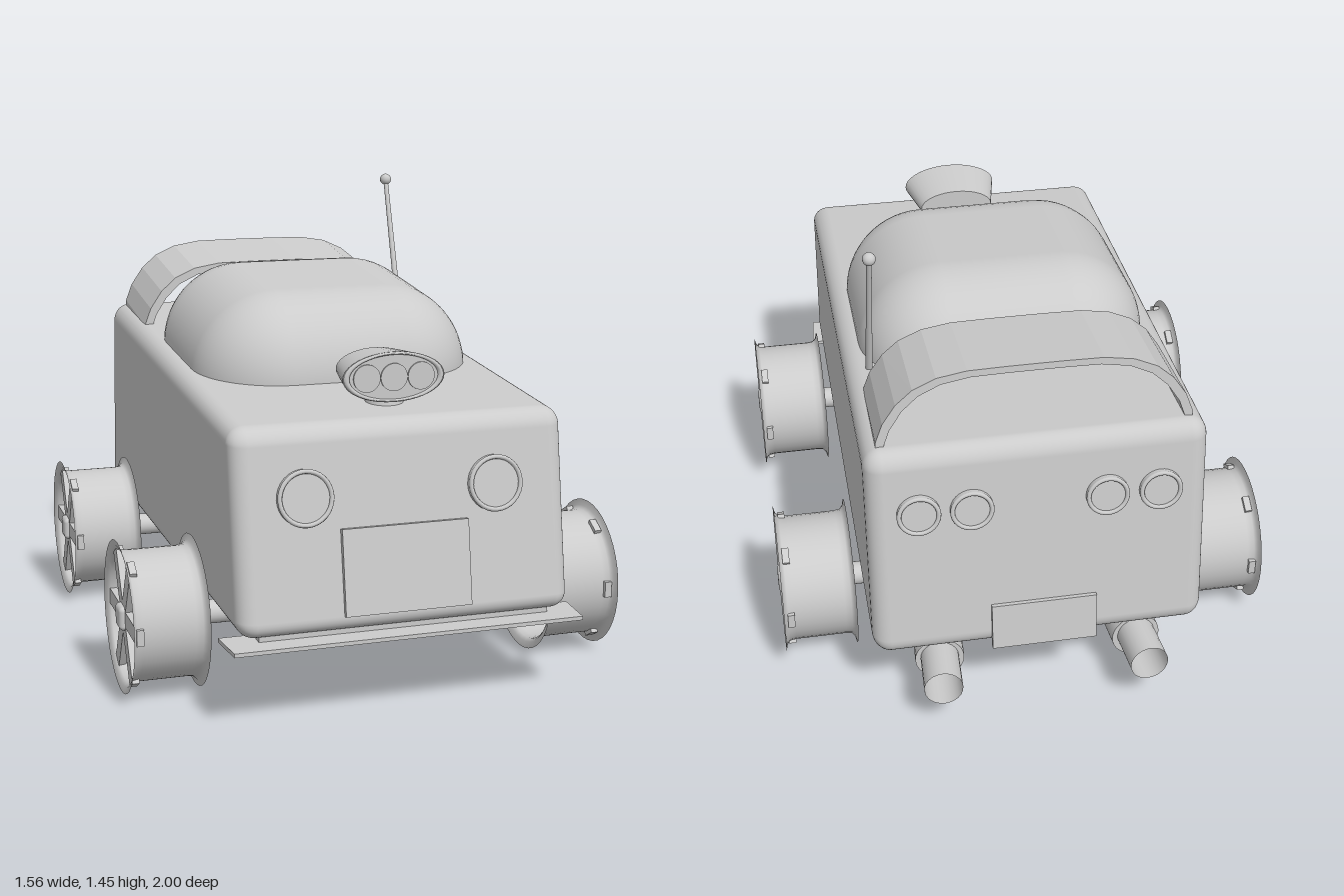
import * as THREE from 'three';
import { mergeVertices } from 'three/addons/utils/BufferGeometryUtils.js';
import { RoundedBoxGeometry } from 'three/addons/geometries/RoundedBoxGeometry.js';

const V = (x, y, z) => new THREE.Vector3(x, y, z);
const mat = new THREE.MeshStandardMaterial({ color: 0xcccccc });
const thinMat = new THREE.MeshStandardMaterial({ color: 0xcccccc, side: THREE.DoubleSide });

function add(parent, name, geometry, pos = [0, 0, 0], rot = [0, 0, 0], material = mat) {
  const mesh = new THREE.Mesh(geometry, material);
  mesh.name = name;
  mesh.position.set(...pos);
  mesh.rotation.set(...rot);
  parent.add(mesh);
  return mesh;
}

function group(parent, name, pos = [0, 0, 0], rot = [0, 0, 0]) {
  const g = new THREE.Group();
  g.name = name;
  g.position.set(...pos);
  g.rotation.set(...rot);
  parent.add(g);
  return g;
}

// Round bar running from a to b
function rod(parent, name, a, b, ra, rb = ra, open = false, material = mat) {
  const geo = new THREE.CylinderGeometry(rb, ra, a.distanceTo(b), 24, 1, open);
  const mesh = add(parent, name, geo, a.clone().lerp(b, 0.5).toArray(), [0, 0, 0], material);
  mesh.quaternion.setFromUnitVectors(V(0, 1, 0), b.clone().sub(a).normalize());
  return mesh;
}

// Move every vertex by a rule and refresh the normals
function deform(geo, rule) {
  const p = geo.attributes.position, v = V(0, 0, 0);
  for (let i = 0; i < p.count; i++) {
    rule(v.fromBufferAttribute(p, i), i);
    p.setXYZ(i, v.x, v.y, v.z);
  }
  geo.computeVertexNormals();
  return geo;
}

// Wedge-shaped rounded body: sloped front, back and top
function bodyGeometry() {
  let geo = new RoundedBoxGeometry(1.03, 0.65, 1.82, 5, 0.055);
  geo.deleteAttribute('normal');
  geo.deleteAttribute('uv');
  geo = mergeVertices(geo);
  return deform(geo, v => {
    const h = v.y / 0.65 + 0.5, d = v.z / 1.82 + 0.5;
    const front = THREE.MathUtils.lerp(0.965, 0.862, h);
    const back = THREE.MathUtils.lerp(-0.933, -0.85, h);
    v.z = THREE.MathUtils.lerp(back, front, d);
    v.y = THREE.MathUtils.lerp(0.27, THREE.MathUtils.lerp(0.98, 0.868, d), h);
  });
}

// Thin hoop arched over the rear deck, rising backwards
function hoopGeometry() {
  const half = [[0.475, 0.86], [0.472, 0.95], [0.45, 1.01], [0.41, 1.07], [0.36, 1.115],
    [0.29, 1.147], [0.2, 1.162], [0.08, 1.164]];
  const outer = [...half, ...half.slice().reverse().map(([x, y]) => [-x, y])];
  const inner = outer.map(([x, y]) => [x * 0.955, y - 0.022]).reverse();
  const shape = new THREE.Shape([...outer, ...inner].map(([x, y]) => new THREE.Vector2(x, y)));
  const geo = new THREE.ExtrudeGeometry(shape, { depth: 0.335, bevelEnabled: false });
  return deform(geo, v => {
    v.z -= 0.8;
    v.y += (-0.465 - v.z) * 0.125;
    v.z += (v.y - 0.96) * 0.06 * (v.z < -0.6 ? 1 : 0);
  });
}

// Round lamp with raised rim, facing local +z
function lamp(parent, name, pos, rot, r) {
  const g = group(parent, name, pos, rot);
  add(g, 'lens', new THREE.CylinderGeometry(r, r, 0.02, 32), [0, 0, 0], [Math.PI / 2, 0, 0]);
  add(g, 'rim', new THREE.TorusGeometry(r - 0.006, 0.007, 8, 32), [0, 0, 0.01]);
}

// Open rim with flared edges, hub and six flat spokes; the outer side is local +x
function wheel(parent, name, pos, side) {
  const g = group(parent, name, pos, [0, side < 0 ? Math.PI : 0, 0]);
  const profile = [[0.234, -0.115], [0.214, -0.11], [0.203, -0.1], [0.2, -0.08],
    [0.2, 0.08], [0.203, 0.1], [0.214, 0.11], [0.234, 0.115]];
  add(g, 'rim', new THREE.LatheGeometry(profile.map(([r, x]) => new THREE.Vector2(r, x)), 40),
    [0, 0, 0], [0, 0, -Math.PI / 2], thinMat);
  add(g, 'hub', new RoundedBoxGeometry(0.05, 0.075, 0.075, 3, 0.015), [0.095, 0, 0]);
  for (let i = 0; i < 6; i++) {
    const a = i * Math.PI / 3;
    add(g, 'spoke', new THREE.BoxGeometry(0.022, 0.05, 0.19),
      [0.092, -Math.sin(a) * 0.117, Math.cos(a) * 0.117], [a, 0, 0]);
  }
}

// Curved pipe, silencer and open tail
function exhaust(parent, side) {
  const g = group(parent, side > 0 ? 'leftExhaust' : 'rightExhaust', [-0.01, 0, 0]);
  const P = (x, y, z) => V(side * x, y, z);
  const path = new THREE.CatmullRomCurve3([P(0.185, 0.27, 0.42), P(0.195, 0.225, 0.28),
    P(0.23, 0.18, 0.1), P(0.268, 0.157, -0.14)]);
  const segs = 24, ring = 17;
  const tube = new THREE.TubeGeometry(path, segs, 0.043, ring - 1);
  // Narrow the pipe towards its front end
  deform(tube, (v, i) => {
    const t = Math.floor(i / ring) / segs;
    const c = path.getPointAt(t);
    v.sub(c).multiplyScalar(0.55 + 0.45 * t).add(c);
  });
  add(g, 'pipe', tube, [0, 0, 0], [0, 0, 0], thinMat);
  rod(g, 'silencer', P(0.265, 0.152, -0.11), P(0.315, 0.165, -0.85), 0.079, 0.077);
  rod(g, 'tailPipe', P(0.314, 0.17, -0.83), P(0.324, 0.177, -0.996), 0.06, 0.06, true, thinMat);
}

export function createModel() {
  const car = new THREE.Group();
  car.name = 'buggy';

  add(car, 'body', bodyGeometry());
  add(car, 'canopy', new RoundedBoxGeometry(0.915, 0.56, 0.9, 8, 0.27), [0, 0.9, -0.015], [0.1, 0, 0]);
  add(car, 'rearHoop', hoopGeometry(), [0, 0, 0], [0, 0, 0], thinMat);

  // Front splitter
  const lip = new THREE.Shape([[-0.553, -0.86], [0.547, -0.86], [0.535, -1], [-0.541, -1]]
    .map(([x, y]) => new THREE.Vector2(x, y)));
  add(car, 'splitter', new THREE.ExtrudeGeometry(lip, { depth: 0.012, bevelEnabled: false }),
    [0, 0.247, 0], [-Math.PI / 2, 0, 0]);
  add(car, 'splitterMount', new THREE.BoxGeometry(0.9, 0.03, 0.08), [0, 0.268, 0.89]);

  // Front and rear lamps and plates follow the sloped faces
  const frontTilt = [-0.157, 0, 0], backTilt = [0.117, Math.PI, 0];
  for (const x of [-0.303, 0.282]) lamp(car, 'headlight', [x, 0.667, 0.902], frontTilt, 0.084);
  for (const x of [-0.366, -0.204, 0.204, 0.362]) lamp(car, 'tailLight', [x, 0.775, -0.878], backTilt, 0.065);
  add(car, 'frontPlate', new THREE.BoxGeometry(0.39, 0.255, 0.03), [-0.005, 0.445, 0.936], frontTilt);
  add(car, 'rearPlate', new THREE.BoxGeometry(0.325, 0.155, 0.022), [-0.01, 0.348, -0.927], backTilt);

  // Oval lamp pod on the bonnet
  const pod = group(car, 'lampPod', [0.02, 0.97, 0.66]);
  const shell = add(pod, 'shell', new THREE.CylinderGeometry(0.16, 0.125, 0.17, 40), [0, 0, 0], [Math.PI / 2, 0, 0]);
  shell.scale.z = 0.475;
  const bezel = add(pod, 'bezel', new THREE.TorusGeometry(0.148, 0.01, 8, 40), [0, 0, 0.083]);
  bezel.scale.y = 0.48;
  for (const x of [-0.085, 0, 0.085])
    add(pod, 'lens', new THREE.CylinderGeometry(0.042, 0.042, 0.02, 28), [x, 0, 0.08], [Math.PI / 2, 0, 0]);
  add(pod, 'stand', new THREE.CylinderGeometry(0.05, 0.065, 0.08, 24), [0, -0.085, 0]);

  // Aerial
  rod(car, 'aerial', V(0.44, 0.93, -0.345), V(0.44, 1.435, -0.512), 0.011, 0.008);
  add(car, 'aerialTip', new THREE.SphereGeometry(0.02, 16, 12), [0.44, 1.437, -0.513]);

  // Axles, wheels and exhausts
  for (const z of [0.53, -0.472]) {
    rod(car, 'axle', V(-0.74, 0.225, z), V(0.74, 0.225, z), 0.037);
    for (const s of [1, -1]) wheel(car, 'wheel', [s * 0.661 - 0.002, 0.238, z], s);
  }
  for (const s of [1, -1]) exhaust(car, s);

  return car;
}
